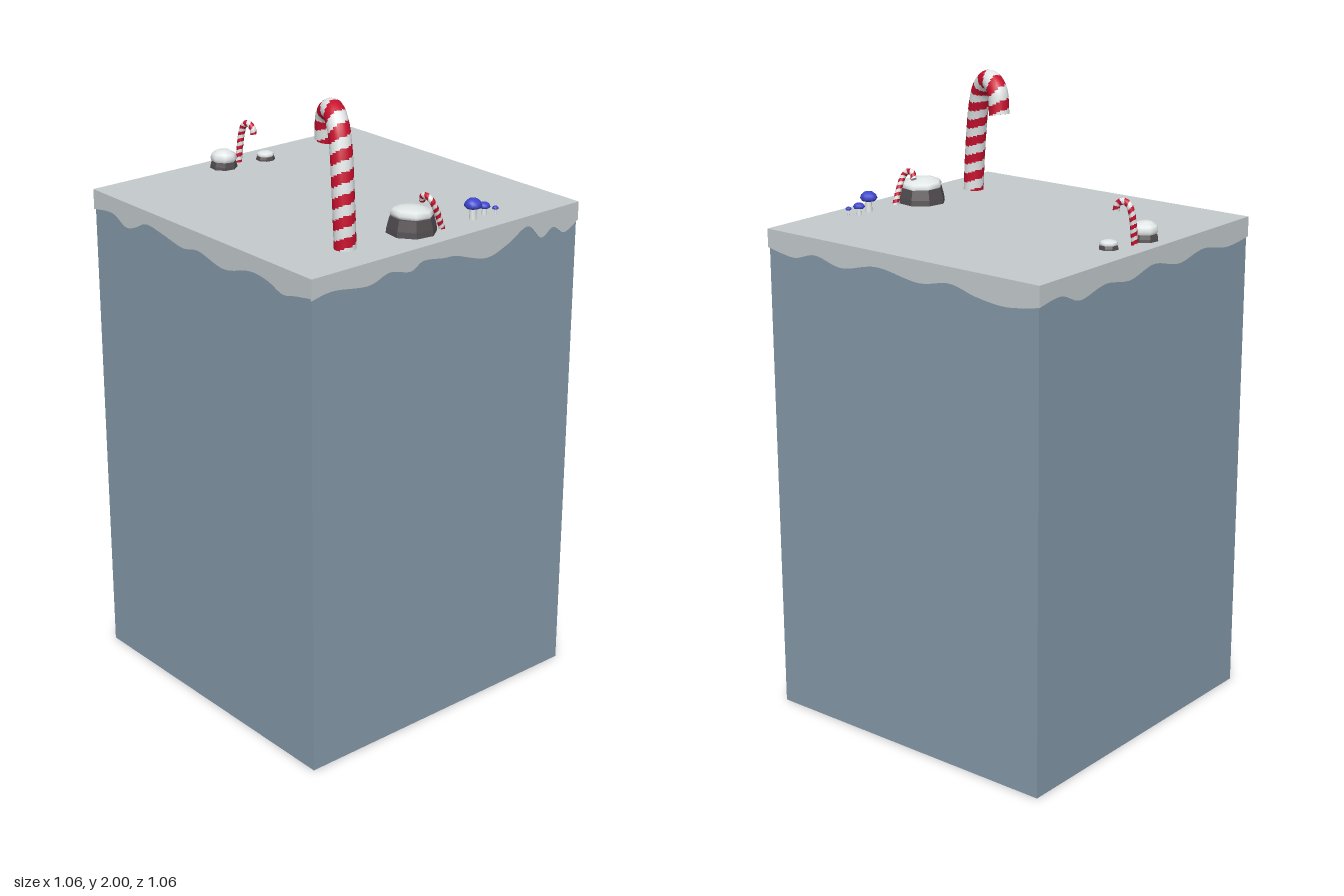
import * as THREE from 'three';

const TOP = 1.59, HALF = 0.528, SKIN = 0.004;

function material(name, color, extra = {}) {
  const m = new THREE.MeshStandardMaterial({ color, ...extra });
  m.name = name;
  return m;
}

export function createModel() {
  const group = new THREE.Group();
  const ice = material('ice blue', 0x8599a9);
  const ground = material('snowy ground', 0xc4cbcd);
  const white = material('white', 0xe6ebeb);
  const red = material('candy red', 0xc8102e);
  const stone = material('dark stone', 0x514b4e, { flatShading: true });
  const blue = material('mushroom blue', 0x3d45cc);

  const add = (name, geometry, mat, parent = group) => {
    const mesh = new THREE.Mesh(geometry, mat);
    mesh.name = name;
    parent.add(mesh);
    return mesh;
  };

  // Ice block with a snow layer on top
  const inner = HALF - SKIN;
  add('iceBlock', new THREE.BoxGeometry(inner * 2, TOP - SKIN, inner * 2), ice)
    .position.y = (TOP - SKIN) / 2;
  add('snowTop', new THREE.BoxGeometry(HALF * 2, SKIN, HALF * 2), ground)
    .position.y = TOP - SKIN / 2;

  // Wavy snow edge on each side: [distance along the side, depth below the top]
  const edges = {
    front: [[-0.53, 0.064], [-0.43, 0.053], [-0.36, 0.08], [-0.31, 0.069], [-0.25, 0.043], [-0.17, 0.052],
      [-0.07, 0.069], [0.01, 0.058], [0.13, 0.08], [0.25, 0.053], [0.33, 0.058], [0.4, 0.08], [0.46, 0.069], [0.53, 0.058]],
    right: [[-0.53, 0.064], [-0.45, 0.053], [-0.32, 0.069], [-0.24, 0.048], [-0.16, 0.064], [-0.11, 0.043],
      [-0.03, 0.053], [0.02, 0.058], [0.14, 0.092], [0.23, 0.069], [0.31, 0.032], [0.37, 0.08], [0.42, 0.058], [0.47, 0.085], [0.53, 0.058]],
    back: [[-0.53, 0.058], [-0.42, 0.074], [-0.33, 0.053], [-0.22, 0.074], [-0.08, 0.048], [0.08, 0.068],
      [0.2, 0.05], [0.3, 0.072], [0.41, 0.082], [0.53, 0.064]],
    left: [[-0.53, 0.064], [-0.43, 0.052], [-0.34, 0.082], [-0.22, 0.06], [-0.1, 0.074], [0.02, 0.05],
      [0.15, 0.074], [0.28, 0.054], [0.41, 0.074], [0.53, 0.064]],
  };
  Object.entries(edges).forEach(([side, wave], k) => {
    const pts = wave.map(([x, d]) => new THREE.Vector2(THREE.MathUtils.clamp(x, -HALF, HALF), TOP - d));
    const shape = new THREE.Shape();
    shape.moveTo(HALF, TOP);
    shape.lineTo(-HALF, TOP);
    shape.lineTo(pts[0].x, pts[0].y);
    shape.splineThru(pts.slice(1));
    const plate = new THREE.ExtrudeGeometry(shape, { depth: SKIN, bevelEnabled: false, curveSegments: 40 });
    plate.translate(0, 0, inner).rotateY(k * Math.PI / 2);
    add(side + 'SnowEdge', plate, ground);
  });

  // Cane: a bent tube whose faces are sorted into spiral stripes
  function candyCane(name, points, radius, turns) {
    const cane = new THREE.Group();
    cane.name = name;
    const curve = new THREE.CatmullRomCurve3(points.map((p) => new THREE.Vector3(...p)));
    const rings = turns * 12, sides = 16;
    const tube = new THREE.TubeGeometry(curve, rings, radius, sides);
    const stripes = [[], []];
    const index = tube.index.array;
    for (let q = 0; q < rings * sides; q++) {
      const t = Math.floor(q / sides) / rings * turns + (q % sides) / sides;
      stripes[t % 1 < 0.5 ? 0 : 1].push(...index.slice(q * 6, q * 6 + 6));
    }
    tube.setIndex([...stripes[0], ...stripes[1]]);
    tube.addGroup(0, stripes[0].length, 0);
    tube.addGroup(stripes[0].length, stripes[1].length, 1);
    add('stripedTube', tube, [red, white], cane);
    // Flat tip of the hook
    const tip = add('tip', new THREE.CircleGeometry(radius, sides), white, cane);
    tip.position.copy(curve.getPoint(1));
    tip.quaternion.setFromUnitVectors(new THREE.Vector3(0, 0, 1), curve.getTangent(1));
    group.add(cane);
  }
  candyCane('largeCandyCane', [[0.392, 1.585, 0.29], [0.387, 1.68, 0.29], [0.374, 1.79, 0.285], [0.358, 1.87, 0.277],
    [0.333, 1.935, 0.267], [0.288, 1.967, 0.249], [0.243, 1.942, 0.231], [0.228, 1.865, 0.224]], 0.033, 9);
  candyCane('leftSmallCane', [[-0.465, 1.585, 0.008], [-0.464, 1.64, 0.002], [-0.46, 1.69, -0.004], [-0.448, 1.715, -0.006],
    [-0.428, 1.72, -0.008], [-0.411, 1.707, -0.01], [-0.408, 1.69, -0.01]], 0.0105, 8);
  candyCane('rightSmallCane', [[0.442, 1.585, -0.042], [0.441, 1.64, -0.022], [0.437, 1.678, -0.004], [0.424, 1.692, 0.002],
    [0.405, 1.69, 0.002], [0.394, 1.672, -0.004]], 0.0095, 7);

  // Stones with snow caps: low eight-sided profiles, the cap tilted slightly
  function snowyStone(name, x, z, r, stoneH, snowH, tilt, spread) {
    const stoneGroup = new THREE.Group();
    stoneGroup.name = name;
    const profile = (pts) => new THREE.LatheGeometry(pts.map((p) => new THREE.Vector2(...p)), 8);
    add('stone', profile([[r, 0], [r * 0.97, stoneH * 0.35], [r * 0.86, stoneH], [0, stoneH]]), stone, stoneGroup);
    const s = r * spread;
    const cap = add('snowCap', profile([[s * 0.9, -0.004], [s, snowH * 0.2], [s * 0.88, snowH * 0.65],
      [s * 0.5, snowH * 0.93], [0, snowH]]), white, stoneGroup);
    cap.position.y = stoneH;
    cap.rotation.x = tilt;
    stoneGroup.position.set(x, TOP, z);
    stoneGroup.rotation.y = 0.25;
    group.add(stoneGroup);
  }
  snowyStone('rightStone', 0.403, 0.045, 0.077, 0.05, 0.028, -0.1, 0.87);
  snowyStone('leftStone', -0.449, 0.08, 0.044, 0.026, 0.032, -0.05, 0.98);
  snowyStone('smallLeftStone', -0.43, -0.075, 0.031, 0.014, 0.013, 0, 0.93);

  // Mushrooms: white stems with blue caps
  [[0.44, -0.167, 0.028, 0.036, 0.03], [0.431, -0.222, 0.019, 0.022, 0.018], [0.453, -0.247, 0.01, 0.018, 0.01]]
    .forEach(([x, z, r, stemH, capH], i) => {
      const mushroom = new THREE.Group();
      mushroom.name = 'mushroom' + (i + 1);
      add('stem', new THREE.CylinderGeometry(r * 0.3, r * 0.42, stemH + capH * 0.3, 8), white, mushroom)
        .position.y = (stemH + capH * 0.3) / 2;
      const cap = [[0, 0.15], [0.8, 0], [1, 0.25], [0.85, 0.62], [0.5, 0.9], [0, 1]]
        .map(([a, b]) => new THREE.Vector2(a * r, b * capH));
      add('cap', new THREE.LatheGeometry(cap, 9), blue, mushroom).position.y = stemH;
      mushroom.position.set(x, TOP, z);
      group.add(mushroom);
    });

  return group;
}
